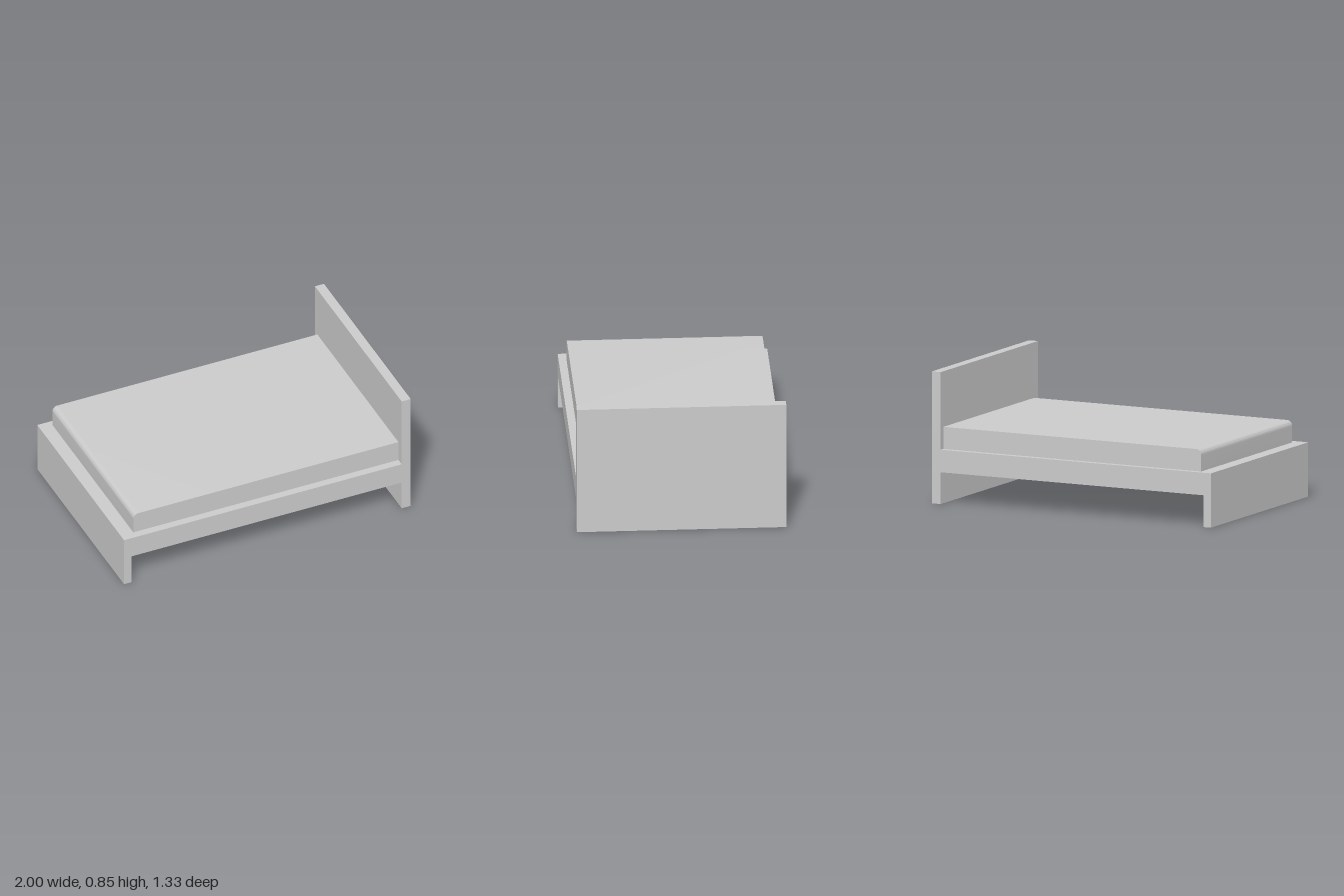
import * as THREE from 'three';
import { toCreasedNormals } from 'three/addons/utils/BufferGeometryUtils.js';

const material = new THREE.MeshStandardMaterial({ color: 0xcccccc });

// Extrudes a side profile (x, y) across the bed from zMin to zMax.
function extrudeAcross(name, shape, zMin, zMax) {
  const geometry = new THREE.ExtrudeGeometry(shape, {
    depth: zMax - zMin, bevelEnabled: false, curveSegments: 8,
  });
  geometry.translate(0, 0, zMin);
  const mesh = new THREE.Mesh(toCreasedNormals(geometry, Math.PI / 6), material);
  mesh.name = name;
  return mesh;
}

export function createModel() {
  const bed = new THREE.Group();
  bed.name = 'bed';

  // Frame: footboard, platform and headboard in one continuous profile
  const deckTop = 0.35, deckBottom = 0.205, headX = 0.937;
  const frame = new THREE.Shape([
    [-1, 0], [-0.947, 0], [-0.947, deckBottom], [headX, deckBottom],
    [headX, 0], [1, 0], [1, 0.85], [headX, 0.85], [headX, deckTop], [-1, deckTop],
  ].map(([x, y]) => new THREE.Vector2(x, y)));
  bed.add(extrudeAcross('bedFrame', frame, -0.667, 0.667));

  // Mattress: rounded along the top edge at the foot end
  const footX = -0.912, top = 0.492, r = 0.035;
  const mattress = new THREE.Shape();
  mattress.moveTo(footX, deckTop);
  mattress.lineTo(headX, deckTop);
  mattress.lineTo(headX, top);
  mattress.lineTo(footX + r, top);
  mattress.absarc(footX + r, top - r, r, Math.PI / 2, Math.PI, false);
  mattress.closePath();
  bed.add(extrudeAcross('mattress', mattress, -0.63, 0.616));

  return bed;
}
